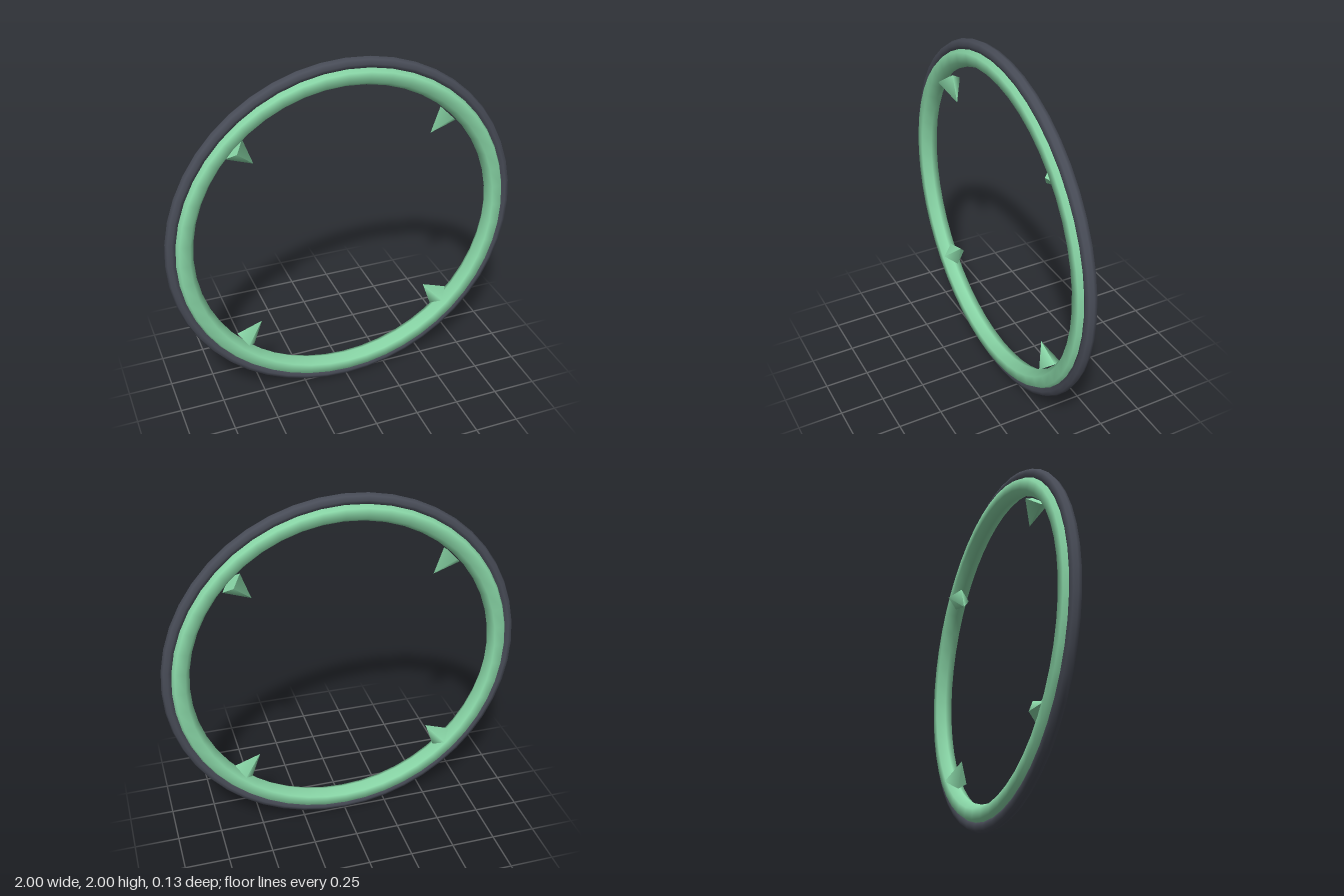
import * as THREE from 'three';

export function createModel() {
  const model = new THREE.Group();
  const green = new THREE.MeshStandardMaterial({ color: 0x8ad8a8 });
  green.name = 'mint green';
  const dark = new THREE.MeshStandardMaterial({ color: 0x484c57 });
  dark.name = 'slate grey';

  const add = (name, geometry, material, x, y, z) => {
    const mesh = new THREE.Mesh(geometry, material);
    mesh.name = name;
    mesh.position.set(x, y, z);
    model.add(mesh);
    return mesh;
  };

  // Concentric rings: slim dark rim around a six-sided green band
  const ringZ = 0.016;
  add('outerRim', new THREE.TorusGeometry(0.968, 0.032, 8, 48), dark, 0, 1, ringZ);
  add('innerRing', new THREE.TorusGeometry(0.905, 0.056, 6, 48), green, 0, 1, ringZ);

  // Four square-based pointers on the diagonals, tips towards the centre
  const pointer = new THREE.ConeGeometry(0.067, 0.14, 4);
  for (let i = 0; i < 4; i++) {
    const a = Math.PI / 4 + (i * Math.PI) / 2;
    const mesh = add('pointer' + (i + 1), pointer, green, 0.771 * Math.cos(a), 1 + 0.771 * Math.sin(a), 0);
    mesh.rotation.z = a + Math.PI / 2;
  }
  return model;
}
